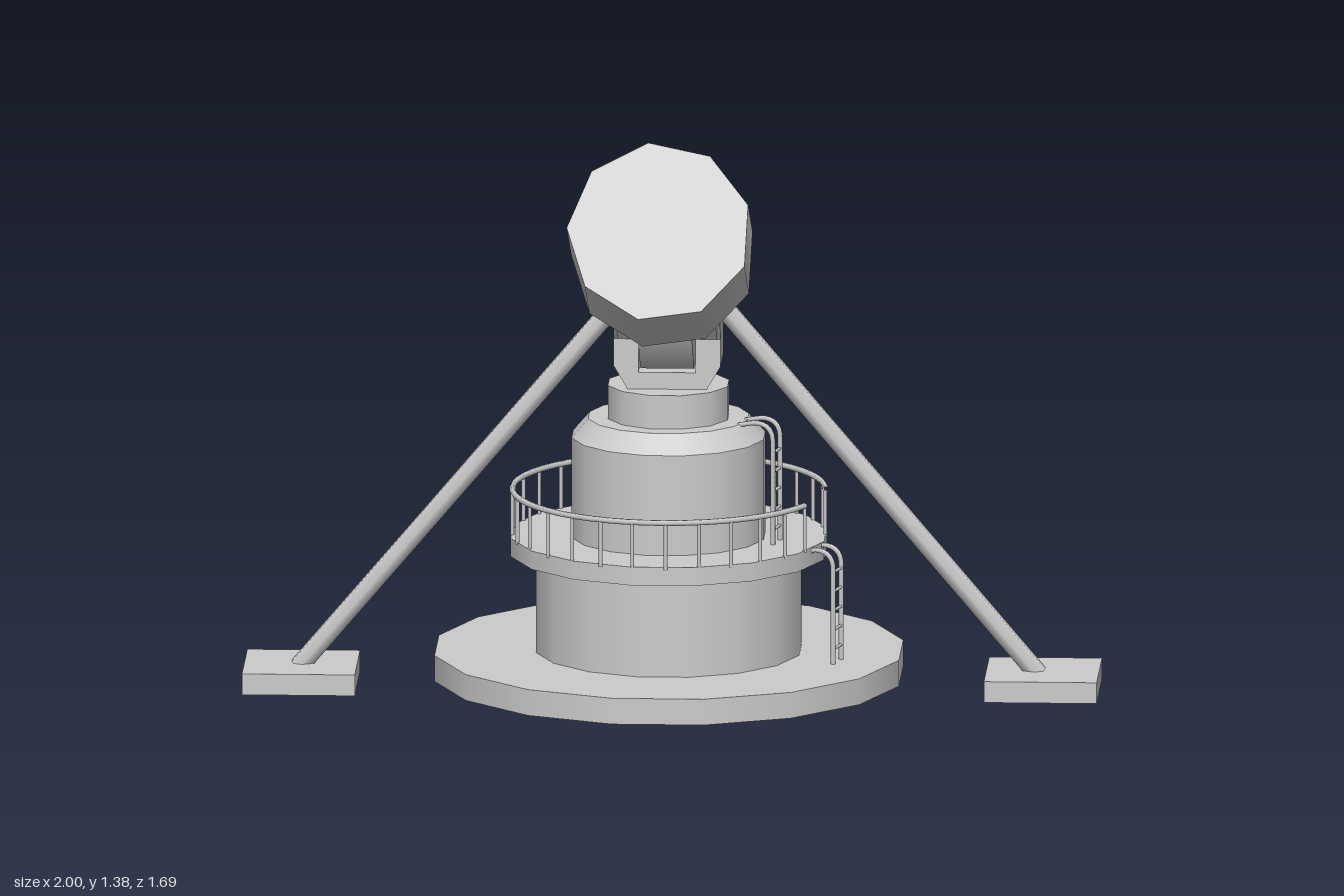
import * as THREE from 'three';

const grey = new THREE.MeshStandardMaterial({ color: 0xcccccc });
const CX = -0.008;
const deg = Math.PI / 180;

function add(parent, name, geometry, x = 0, y = 0, z = 0) {
  const m = new THREE.Mesh(geometry, grey);
  m.name = name;
  m.position.set(x, y, z);
  parent.add(m);
  return m;
}

// Upright polygonal drum between two heights, with flats facing the axes
function drum(parent, name, rTop, rBottom, y0, y1, z, sides = 16) {
  const g = new THREE.CylinderGeometry(rTop, rBottom, y1 - y0, sides, 1, false, Math.PI / sides);
  return add(parent, name, g, CX, (y0 + y1) / 2, z);
}

// Straight round bar between two points
function bar(parent, name, a, b, r, sides = 6) {
  const dir = b.clone().sub(a);
  const m = add(parent, name, new THREE.CylinderGeometry(r, r, dir.length(), sides));
  m.position.copy(a).add(b).multiplyScalar(0.5);
  m.quaternion.setFromUnitVectors(new THREE.Vector3(0, 1, 0), dir.normalize());
  return m;
}

const v = (x, y, z) => new THREE.Vector3(x, y, z);

// Ladder whose rails hook inward at the top
function ladder(parent, name, z, angle, r, y0, y1, hook) {
  const g = new THREE.Group();
  g.name = name;
  g.position.set(CX, 0, z);
  g.rotation.y = -angle;
  const half = 0.028;
  for (const s of [-half, half]) {
    const path = new THREE.CurvePath();
    const c = 0.045;
    path.add(new THREE.LineCurve3(v(r, y0, s), v(r, y1 - c, s)));
    path.add(new THREE.QuadraticBezierCurve3(v(r, y1 - c, s), v(r, y1, s), v(r - c, y1, s)));
    path.add(new THREE.LineCurve3(v(r - c, y1, s), v(r - hook, y1 - 0.008, s)));
    add(g, 'ladderRail', new THREE.TubeGeometry(path, 30, 0.006, 6));
  }
  for (let y = y0 + 0.035; y < y1 - 0.03; y += 0.046) {
    bar(g, 'ladderRung', v(r, y, -half), v(r, y, half), 0.004);
  }
  parent.add(g);
}

export function createModel() {
  const model = new THREE.Group();
  model.name = 'mountedTelescope';

  // Stepped base tower
  drum(model, 'baseDisc', 0.554, 0.554, 0.028, 0.09, 0.271);
  drum(model, 'lowerDrum', 0.314, 0.314, 0.09, 0.325, 0.275);
  drum(model, 'deck', 0.374, 0.374, 0.322, 0.366, 0.275);
  drum(model, 'upperDrum', 0.229, 0.229, 0.36, 0.605, 0.291);
  drum(model, 'drumShoulder', 0.19, 0.229, 0.605, 0.65, 0.291);
  drum(model, 'turntable', 0.145, 0.145, 0.65, 0.73, 0.291, 12);

  // Deck railing with a gap at the ladder
  const railing = new THREE.Group();
  railing.name = 'railing';
  railing.position.set(CX, 0, 0.275);
  const start = 27 * deg, sweep = 332 * deg, R = 0.366, posts = 27;
  const handrail = new THREE.TorusGeometry(R, 0.007, 6, 48, sweep);
  handrail.rotateZ(start);
  handrail.rotateX(Math.PI / 2);
  add(railing, 'handrail', handrail, 0, 0.472, 0);
  for (let i = 0; i <= posts; i++) {
    const a = start + (sweep * i) / posts;
    const x = R * Math.cos(a), z = R * Math.sin(a);
    bar(railing, 'railPost', v(x, 0.36, z), v(x, 0.472, z), 0.005);
  }
  model.add(railing);

  // Ladders
  ladder(model, 'lowerLadder', 0.275, 17 * deg, 0.418, 0.09, 0.36, 0.065);
  ladder(model, 'upperLadder', 0.291, 15 * deg, 0.265, 0.366, 0.655, 0.085);

  // Yoke base: U-shaped block with chamfered feet
  const u = new THREE.Shape([
    [-0.09, 0.725], [0.09, 0.725], [0.125, 0.785], [0.125, 0.85], [0.067, 0.85], [0.067, 0.77],
    [-0.067, 0.77], [-0.067, 0.85], [-0.125, 0.85], [-0.125, 0.785],
  ].map(([x, y]) => new THREE.Vector2(x, y)));
  add(model, 'yokeBase', new THREE.ExtrudeGeometry(u, { depth: 0.145, bevelEnabled: false }), CX, 0, 0.218);

  // Yoke arms: stem widening into a nine-sided head
  const armPoints = [[-0.064, -0.135], [0.064, -0.135], [0.064, -0.092]];
  for (let i = -1; i <= 5; i++) {
    const a = (10 + 40 * i) * deg;
    armPoints.push([0.108 * Math.cos(a), 0.108 * Math.sin(a)]);
  }
  armPoints.push([-0.064, -0.092]);
  const armShape = new THREE.Shape(armPoints.map(([x, y]) => new THREE.Vector2(x, y)));
  const armGeo = new THREE.ExtrudeGeometry(armShape, {
    depth: 0.04, bevelThickness: 0.009, bevelSize: 0.009, bevelSegments: 1,
  });
  armGeo.translate(0, 0, -0.02);
  armGeo.rotateY(-Math.PI / 2);
  for (const s of [-1, 1]) add(model, 'yokeArm', armGeo, CX + s * 0.096, 0.945, 0.29);

  // Pivot hub between the arms
  const hub = new THREE.CylinderGeometry(0.187, 0.187, 0.126, 9);
  hub.rotateZ(Math.PI / 2);
  hub.rotateX(-Math.PI / 2);
  add(model, 'pivotHub', hub, CX, 0.953, 0.288);

  // Tilted tube: chamfered neck and nine-sided head
  const tube = new THREE.Group();
  tube.name = 'tiltedTube';
  tube.position.set(CX, 0.956, 0.288);
  tube.rotation.x = 62.6 * deg;
  const w = 0.09, h = 0.115, c = 0.04;
  const neckShape = new THREE.Shape([
    [-w, -h + c], [-w + c, -h], [w - c, -h], [w, -h + c],
    [w, h - c], [w - c, h], [-w + c, h], [-w, h - c],
  ].map(([x, y]) => new THREE.Vector2(x, y)));
  const neck = new THREE.ExtrudeGeometry(neckShape, { depth: 0.14, bevelEnabled: false });
  neck.rotateX(-Math.PI / 2);
  add(tube, 'neck', neck, 0, 0.138, 0);
  const head = new THREE.CylinderGeometry(0.217, 0.217, 0.248, 9, 1, false, 28 * deg);
  add(tube, 'tubeHead', head, 0, 0.391, 0);
  model.add(tube);

  // Struts and ground pads
  const padGeo = new THREE.BoxGeometry(0.264, 0.05, 0.264);
  for (const s of [-1, 1]) {
    bar(model, 'sideStrut', v(CX + s * 0.1, 0.945, 0.287), v(CX + s * 0.865, 0.04, 0.287), 0.025);
    add(model, 'sidePad', padGeo, s * 0.868, 0.025, 0.287);
  }
  bar(model, 'backStrut', v(CX, 0.93, 0.192), v(CX, 0.04, -0.725), 0.025);
  add(model, 'backPad', padGeo, CX, 0.025, -0.715);

  return model;
}
